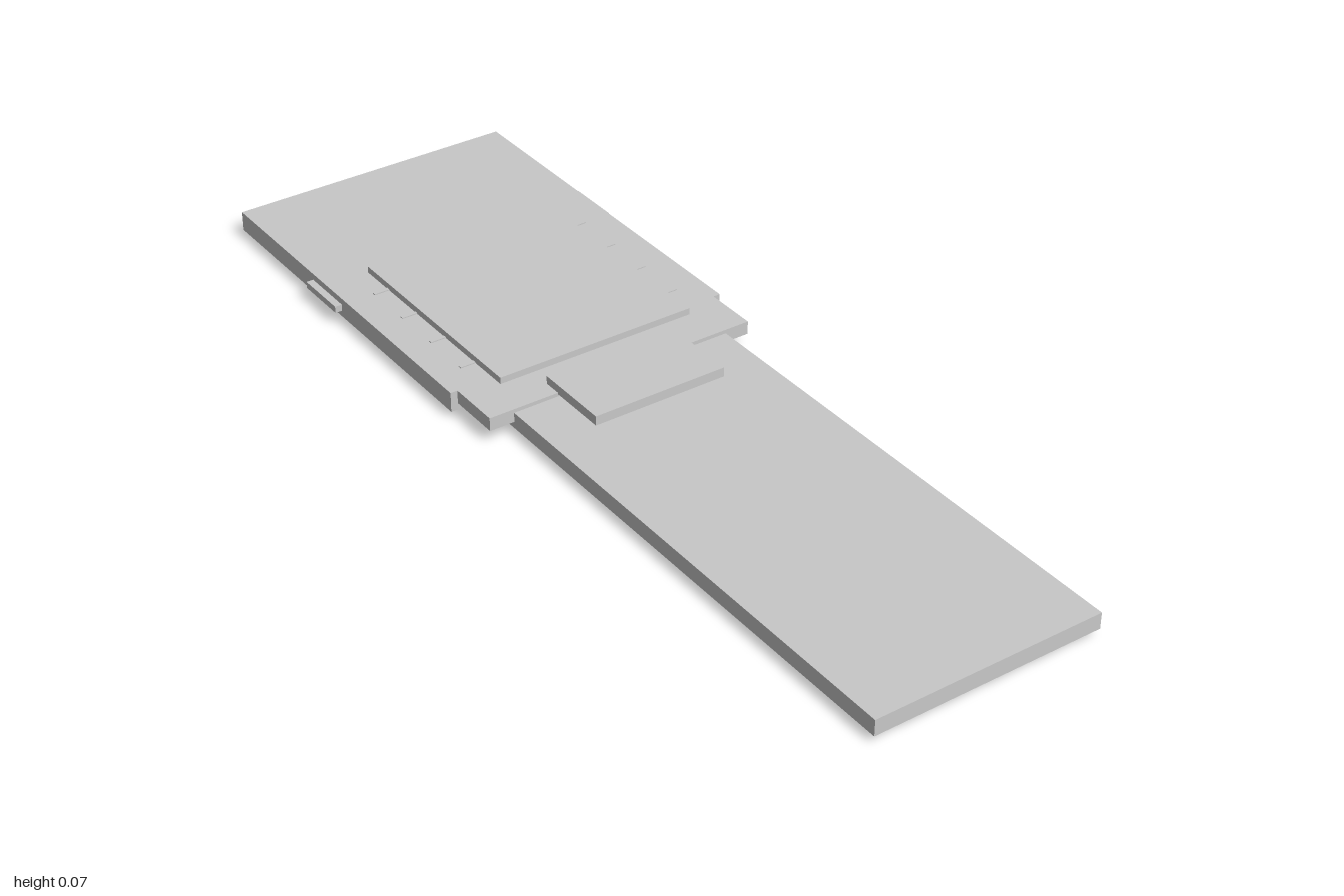
import * as THREE from 'three';

export function createModel() {
  const model = new THREE.Group();
  const grey = new THREE.MeshStandardMaterial({ color: 0xc8c8c8 });
  grey.name = 'light grey';

  // Box given by its limits on each axis
  const slab = (name, [x0, x1], [y0, y1], [z0, z1]) => {
    const mesh = new THREE.Mesh(new THREE.BoxGeometry(x1 - x0, y1 - y0, z1 - z0), grey);
    mesh.position.set((x0 + x1) / 2, (y0 + y1) / 2, (z0 + z1) / 2);
    mesh.name = name;
    model.add(mesh);
  };
  const wide = (w) => [-w, w];

  // Main bodies: broad rear block, stepped shoulder and long front strip
  slab('rearBlock', wide(0.31), [0.014, 0.056], [-1, -0.175]);
  slab('shoulder', wide(0.295), [0.028, 0.056], [-0.175, -0.062]);
  slab('frontStrip', wide(0.242), [0.014, 0.048], [-0.175, 1]);

  // Raised pads above
  slab('topPlate', wide(0.217), [0.056, 0.07], [-0.641, -0.148]);
  slab('frontPad', wide(0.145), [0.053, 0.073], [-0.1, 0.065]);

  // Layered plate underneath
  slab('bottomSpacer', wide(0.237), [0.007, 0.014], [-0.6, -0.175]);
  slab('bottomPlate', wide(0.217), [0, 0.013], [-0.641, -0.148]);

  // Side tabs and thin ribs beside the top plate
  for (const side of [-1, 1]) {
    const span = (a, b) => (side > 0 ? [a, b] : [-b, -a]);
    slab('sideTab', span(0.31, 0.325), [0.028, 0.042], [-0.7, -0.585]);
    for (const z of [-0.24, -0.348, -0.455, -0.562]) {
      slab('rib', span(0.21, 0.25), [0.056, 0.058], [z - 0.004, z + 0.004]);
    }
  }
  return model;
}
